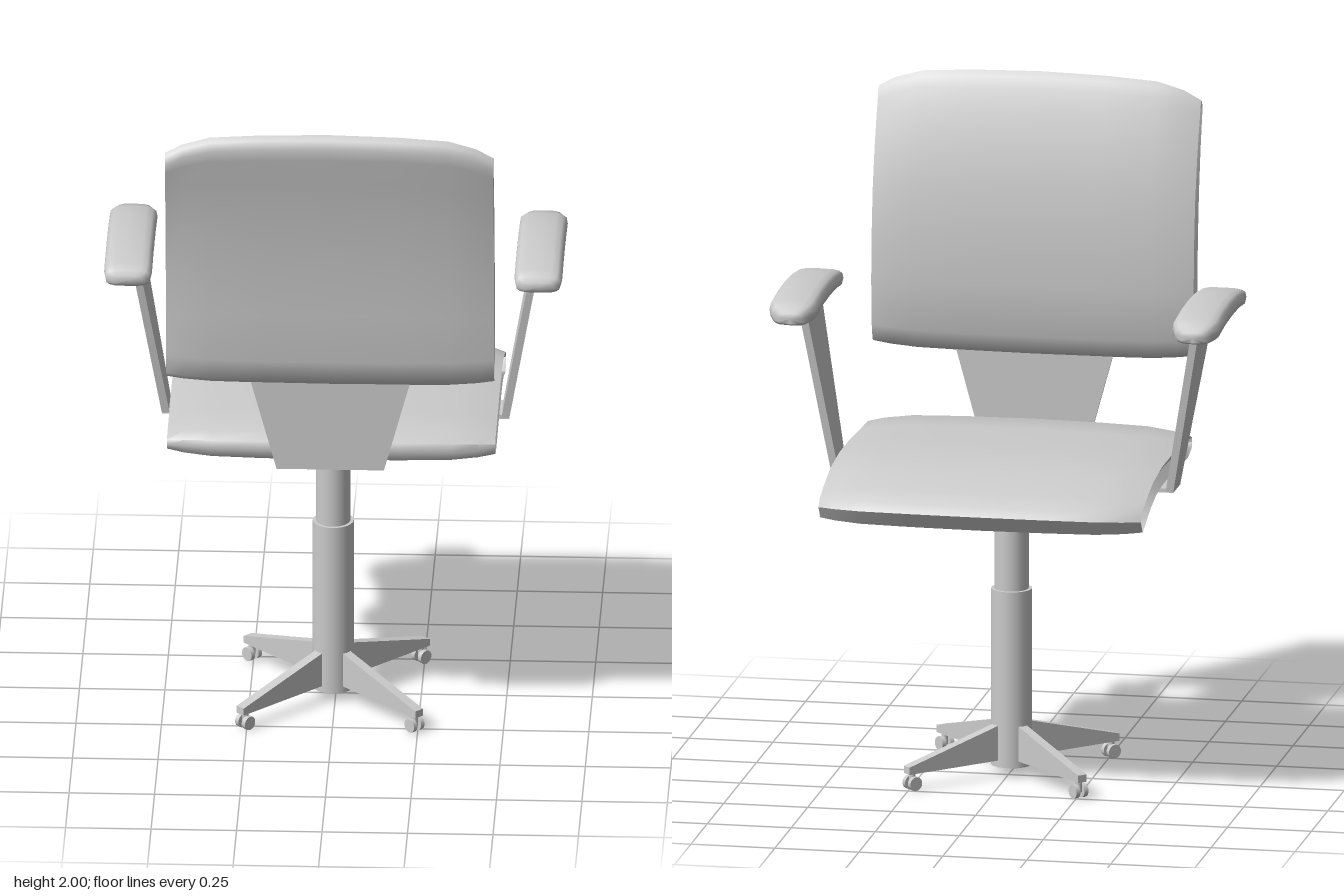
import * as THREE from 'three';
import { toCreasedNormals } from 'three/addons/utils/BufferGeometryUtils.js';

const material = new THREE.MeshStandardMaterial({ color: 0xcccccc });

function add(parent, name, geometry) {
  const mesh = new THREE.Mesh(geometry, material);
  mesh.name = name;
  parent.add(mesh);
  return mesh;
}

// Skin a row of closed cross-sections and cap both ends.
function loft(sections, crease = 0.9) {
  const n = sections[0].length;
  const points = sections.flat();
  const index = [];
  for (let i = 0; i < sections.length - 1; i++) {
    for (let j = 0; j < n; j++) {
      const a = i * n + j, b = i * n + (j + 1) % n;
      index.push(a, b, b + n, a, b + n, a + n);
    }
  }
  [0, sections.length - 1].forEach((s) => {
    const centre = points.length;
    points.push(sections[s].reduce((c, p) => c.add(p), new THREE.Vector3()).divideScalar(n));
    for (let j = 0; j < n; j++) {
      const a = s * n + j, b = s * n + (j + 1) % n;
      index.push(...(s ? [centre, a, b] : [centre, b, a]));
    }
  });
  // Turn the faces outward whatever the section direction.
  let volume = 0;
  const cross = new THREE.Vector3();
  for (let t = 0; t < index.length; t += 3) {
    volume += points[index[t]].dot(cross.crossVectors(points[index[t + 1]], points[index[t + 2]]));
  }
  if (volume < 0) index.reverse();
  const geometry = new THREE.BufferGeometry().setFromPoints(points);
  geometry.setIndex(index);
  return toCreasedNormals(geometry, crease);
}

// Cushion: a side profile swept across x, shrinking to the sides, which are grooved.
// Profile sides are [along, across] pairs; both lists share their end points.
function cushion(sideA, sideB, pivot, shrink, thin, place) {
  const spine = sideA.map((p, i) => (p[1] + sideB[i][1]) / 2);
  const section = (x, k, t) => {
    const side = (list) => list.map(([a, b], i) =>
      place(x, pivot + (a - pivot) * (1 - shrink * k), THREE.MathUtils.lerp(b, spine[i], t)));
    return [...side(sideA), ...side(sideB).slice(1, -1).reverse()];
  };
  const half = [[0, 0], [0.2, 0.07], [0.35, 0.22], [0.43, 0.58], [0.48, 1]];
  const stations = half.map(([x, k]) => [x, k, thin * k]);
  stations.push([0.458, 1.05, 0.9]);
  const mirrored = stations.slice(1).reverse().map(([x, k, t]) => [-x, k, t]);
  return loft([...mirrored, ...stations].map((s) => section(...s)));
}

// Flat trapezoid in the xy plane, thickened along z and centred on z = 0.
function plate(corners, thickness) {
  const shape = new THREE.Shape(corners.map(([x, y]) => new THREE.Vector2(x, y)));
  return new THREE.ExtrudeGeometry(shape, { depth: thickness, bevelEnabled: false })
    .translate(0, 0, -thickness / 2);
}

function buildArm(side) {
  const arm = new THREE.Group();
  arm.name = side > 0 ? 'leftArm' : 'rightArm';

  // Tapered upright leaning outward
  const upright = [[1.41, 0.575, 0.597, -0.145, 0.087], [0.895, 0.485, 0.508, -0.087, 0.02]]
    .map(([y, x0, x1, z0, z1]) => [[x0, z0], [x1, z0], [x1, z1], [x0, z1]]
      .map(([x, z]) => new THREE.Vector3(side * x, y, z)));
  add(arm, 'armUpright', loft(upright, 0.4));

  // Foot reaching under the seat
  add(arm, 'armFoot', new THREE.BoxGeometry(0.12, 0.012, 0.107))
    .position.set(side * 0.448, 0.9, -0.033);

  // Rounded pad: z, half width, bottom, top
  const rows = [
    [-0.266, 0.035, 1.393, 1.425], [-0.25, 0.055, 1.386, 1.443], [-0.21, 0.07, 1.387, 1.453],
    [-0.1, 0.07, 1.398, 1.464], [0, 0.07, 1.401, 1.466], [0.1, 0.07, 1.4, 1.462],
    [0.19, 0.07, 1.392, 1.45], [0.225, 0.065, 1.391, 1.441], [0.237, 0.045, 1.398, 1.428],
  ];
  const round = (v) => Math.sign(v) * Math.abs(v) ** 0.6;
  const pad = rows.map(([z, w, low, high]) => Array.from({ length: 16 }, (_, j) => {
    const a = (j / 16) * Math.PI * 2;
    return new THREE.Vector3(side * 0.6 + w * round(Math.cos(a)),
      (low + high) / 2 + (high - low) / 2 * round(Math.sin(a)), z);
  }));
  add(arm, 'armPad', loft(pad, 1.1));
  return arm;
}

function buildBase() {
  const base = new THREE.Group();
  base.name = 'base';
  base.position.set(-0.007, 0, 0.015);

  // Telescopic column: name, radius, bottom, top
  [['lowerColumn', 0.06, 0.03, 0.56], ['upperColumn', 0.05, 0.55, 0.85], ['columnCollar', 0.055, 0.84, 0.895]]
    .forEach(([name, r, low, high]) => {
      add(base, name, new THREE.CylinderGeometry(r, r, high - low, 24)).position.y = (low + high) / 2;
    });

  // Four diagonal legs with twin-wheel casters
  for (let i = 0; i < 4; i++) {
    const leg = new THREE.Group();
    leg.name = 'leg';
    leg.rotation.y = Math.PI / 4 + i * Math.PI / 2;
    add(leg, 'legBeam', plate([[0.03, 0.05], [0.37, 0.05], [0.37, 0.072], [0.03, 0.162]], 0.03));
    add(leg, 'casterStem', new THREE.CylinderGeometry(0.01, 0.01, 0.04, 10)).position.set(0.35, 0.037, 0);
    for (const s of [-1, 1]) {
      const wheel = add(leg, 'casterWheel', new THREE.CylinderGeometry(0.021, 0.021, 0.014, 14));
      wheel.rotation.x = Math.PI / 2;
      wheel.position.set(0.35, 0.021, s * 0.014);
    }
    base.add(leg);
  }
  return base;
}

export function createModel() {
  const chair = new THREE.Group();
  chair.name = 'officeChair';

  // Seat with a front lip that curls down: [z, y]
  const seatTop = [[0.38, 0.94], [0.376, 0.968], [0.345, 0.988], [0.2, 0.993], [0.02, 1.0], [-0.15, 1.0],
    [-0.3, 0.985], [-0.42, 0.95], [-0.49, 0.925], [-0.511, 0.9], [-0.48, 0.853]];
  const seatBottom = [[0.38, 0.94], [0.37, 0.91], [0.31, 0.886], [0.2, 0.888], [0.02, 0.898], [-0.15, 0.898],
    [-0.25, 0.892], [-0.33, 0.882], [-0.39, 0.868], [-0.43, 0.856], [-0.48, 0.853]];
  add(chair, 'seat', cushion(seatTop, seatBottom, 0.1, 0.12, 0.45,
    (x, a, b) => new THREE.Vector3(x, b, a)));

  // Curved backrest: [y, z]
  const backRear = [[1.168, 0.405], [1.185, 0.425], [1.25, 0.437], [1.4, 0.442], [1.55, 0.452],
    [1.7, 0.468], [1.84, 0.491], [1.93, 0.51], [1.965, 0.515], [1.99, 0.505], [2.0, 0.485]];
  const backFront = [[1.168, 0.405], [1.178, 0.378], [1.23, 0.358], [1.38, 0.348], [1.53, 0.353],
    [1.68, 0.37], [1.81, 0.4], [1.9, 0.43], [1.955, 0.452], [1.985, 0.468], [2.0, 0.485]];
  add(chair, 'backrest', cushion(backRear, backFront, 1.35, 0.1, 0.4,
    (x, a, b) => new THREE.Vector3(x, a, b)));

  // Back support plate and its foot under the seat
  add(chair, 'backSupport', plate([[-0.157, 0.895], [0.157, 0.895], [0.24, 1.2], [-0.24, 1.2]], 0.01))
    .position.z = 0.402;
  add(chair, 'backSupportFoot', new THREE.BoxGeometry(0.314, 0.01, 0.16)).position.set(0, 0.9, 0.326);

  chair.add(buildArm(1), buildArm(-1), buildBase());
  return chair;
}
